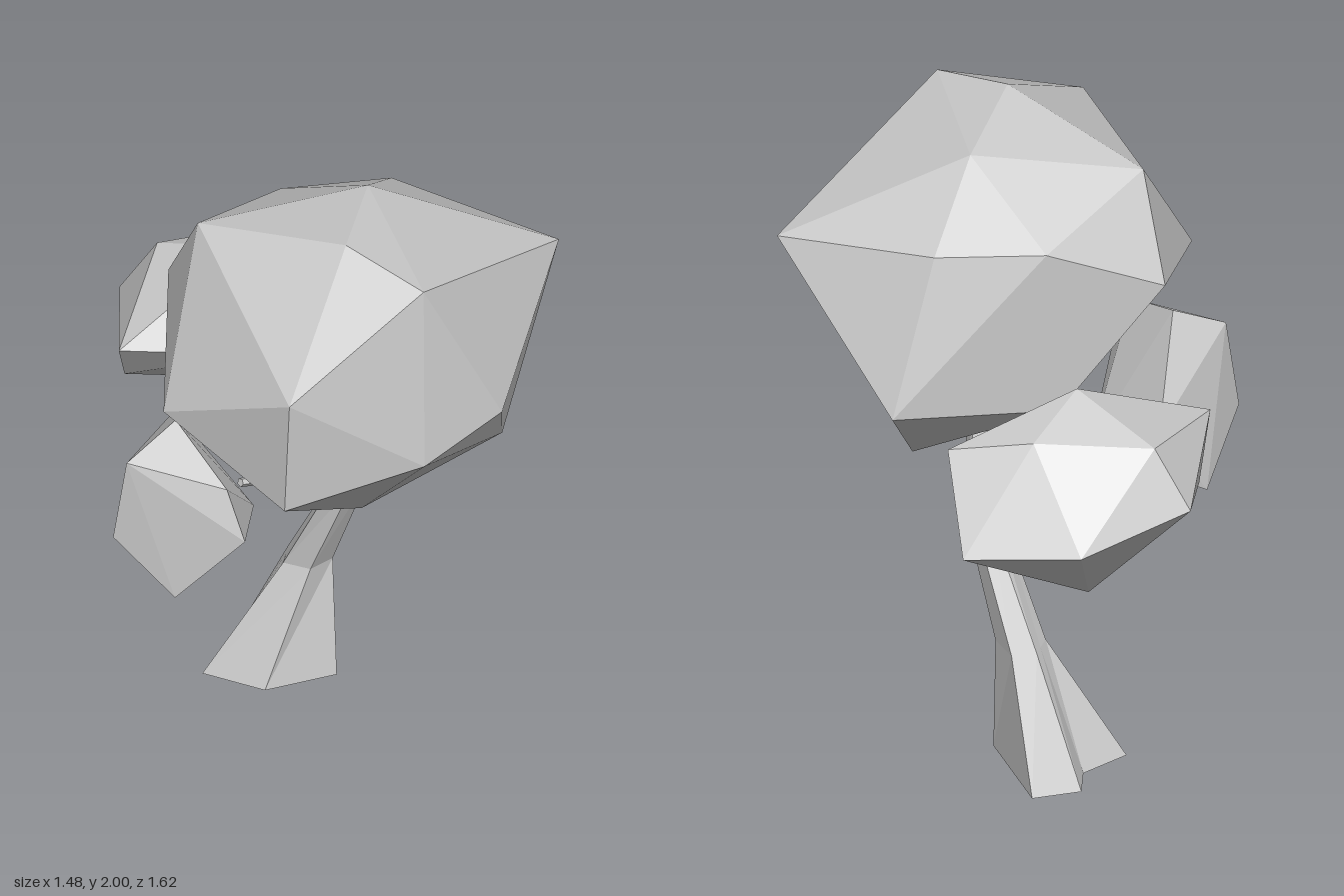
import * as THREE from 'three';
import { ConvexGeometry } from 'three/addons/geometries/ConvexGeometry.js';

const material = new THREE.MeshStandardMaterial({ color: 0xcccccc, flatShading: true });
const vec = (p) => new THREE.Vector3(...p);

// Faceted clump of leaves: the hull around its corner points
function foliage(name, corners) {
  const mesh = new THREE.Mesh(new ConvexGeometry(corners.map(vec)), material);
  mesh.name = name;
  return mesh;
}

// Skin a stack of rings with flat facets and close both ends
function loft(name, rings) {
  const pos = [];
  const tri = (...points) => points.forEach((p) => pos.push(p.x, p.y, p.z));
  const n = rings[0].length;
  for (let i = 0; i < rings.length - 1; i++) {
    for (let j = 0; j < n; j++) {
      const k = (j + 1) % n;
      const a = rings[i][j], b = rings[i][k], c = rings[i + 1][k], d = rings[i + 1][j];
      tri(a, d, b);
      tri(b, d, c);
    }
  }
  const cap = (ring, top) => {
    const mid = ring.reduce((s, p) => s.add(p), new THREE.Vector3()).divideScalar(n);
    ring.forEach((p, j) => {
      const q = ring[(j + 1) % n];
      if (top) tri(mid, q, p);
      else tri(mid, p, q);
    });
  };
  cap(rings[0], false);
  cap(rings[rings.length - 1], true);
  const geometry = new THREE.BufferGeometry();
  geometry.setAttribute('position', new THREE.Float32BufferAttribute(pos, 3));
  geometry.computeVertexNormals();
  const mesh = new THREE.Mesh(geometry, material);
  mesh.name = name;
  return mesh;
}

// Tapered five-sided branch along a few points, each given as x, y, z, radius
function branch(name, path) {
  const centres = path.map((p) => vec(p.slice(0, 3)));
  const rings = path.map((p, i) => {
    const next = centres[Math.min(i + 1, path.length - 1)];
    const dir = next.clone().sub(centres[Math.max(i - 1, 0)]).normalize();
    const e1 = new THREE.Vector3(0, 1, 0).cross(dir).normalize();
    const e2 = e1.clone().cross(dir);
    return Array.from({ length: 5 }, (_, j) => {
      const t = (j / 5) * Math.PI * 2;
      return centres[i].clone()
        .addScaledVector(e1, p[3] * Math.cos(t))
        .addScaledVector(e2, p[3] * Math.sin(t));
    });
  });
  return loft(name, rings);
}

export function createModel() {
  const tree = new THREE.Group();
  tree.name = 'tree';

  // Leaning trunk with a flared, notched foot: height, then x and z of each corner
  const sections = [
    [0, [[0.04, -0.2], [-0.13, -0.04], [-0.34, -0.05], [-0.28, -0.21], [-0.33, -0.31], [-0.22, -0.42]]],
    [0.4, [[0.01, -0.24], [-0.03, -0.16], [-0.12, -0.16], [-0.13, -0.21], [-0.14, -0.25], [-0.08, -0.3]]],
    [0.77, [[0.15, -0.18], [0.12, -0.13], [0.06, -0.12], [0.05, -0.16], [0.05, -0.19], [0.09, -0.22]]],
    [1.12, [[0.19, -0.1], [0.17, -0.06], [0.12, -0.05], [0.1, -0.08], [0.11, -0.12], [0.15, -0.14]]],
  ];
  tree.add(loft('trunk', sections.map(([y, ring]) => ring.map(([x, z]) => new THREE.Vector3(x, y, z)))));

  // Side branches
  tree.add(branch('frontBranch', [[0.12, 0.81, -0.17, 0.045], [0.02, 0.89, 0.0, 0.03], [-0.1, 0.96, 0.23, 0.014]]));
  tree.add(branch('backBranch', [[0.11, 0.79, -0.17, 0.045], [0.02, 0.92, -0.23, 0.03], [-0.19, 1.06, -0.33, 0.016]]));

  // Main crown
  tree.add(foliage('mainCrown', [
    [0.28, 2.0, 0.31], [0.56, 1.94, 0.37], [0.3, 1.73, 0.81], [-0.24, 1.89, 0.23],
    [0.2, 1.96, -0.06], [0.7, 1.69, -0.37], [0.15, 1.77, -0.37], [-0.14, 1.77, -0.19],
    [0.735, 1.41, 0.17], [0.6, 1.36, 0.46], [0.28, 1.33, 0.8], [-0.2, 1.44, 0.6],
    [-0.39, 1.59, 0.1], [0.67, 1.21, 0.01], [0.3, 0.98, -0.24], [0.2, 1.27, -0.54],
    [0.34, 1.05, 0.33], [-0.16, 1.21, -0.15],
  ]));

  // Back clump
  tree.add(foliage('backFoliage', [
    [-0.2, 1.03, -0.81], [-0.05, 1.29, -0.64], [-0.31, 1.35, -0.57], [-0.62, 1.32, -0.37],
    [-0.32, 1.42, -0.32], [-0.74, 1.13, -0.36], [-0.545, 1.07, -0.69], [-0.565, 1.22, 0.07],
    [-0.21, 1.15, -0.16], [-0.44, 0.81, -0.46], [-0.6, 1.04, -0.06], [-0.2, 0.93, -0.59],
  ]));

  // Front clump
  tree.add(foliage('frontFoliage', [
    [-0.15, 0.78, 0.63], [-0.37, 0.92, 0.59], [-0.44, 0.8, 0.27], [-0.33, 1.2, 0.58],
    [0.0, 1.19, 0.58], [0.08, 1.05, 0.63], [-0.23, 1.29, 0.43], [-0.06, 0.88, 0.22],
    [-0.35, 0.94, 0.07], [-0.37, 1.07, 0.1],
  ]));

  return tree;
}
